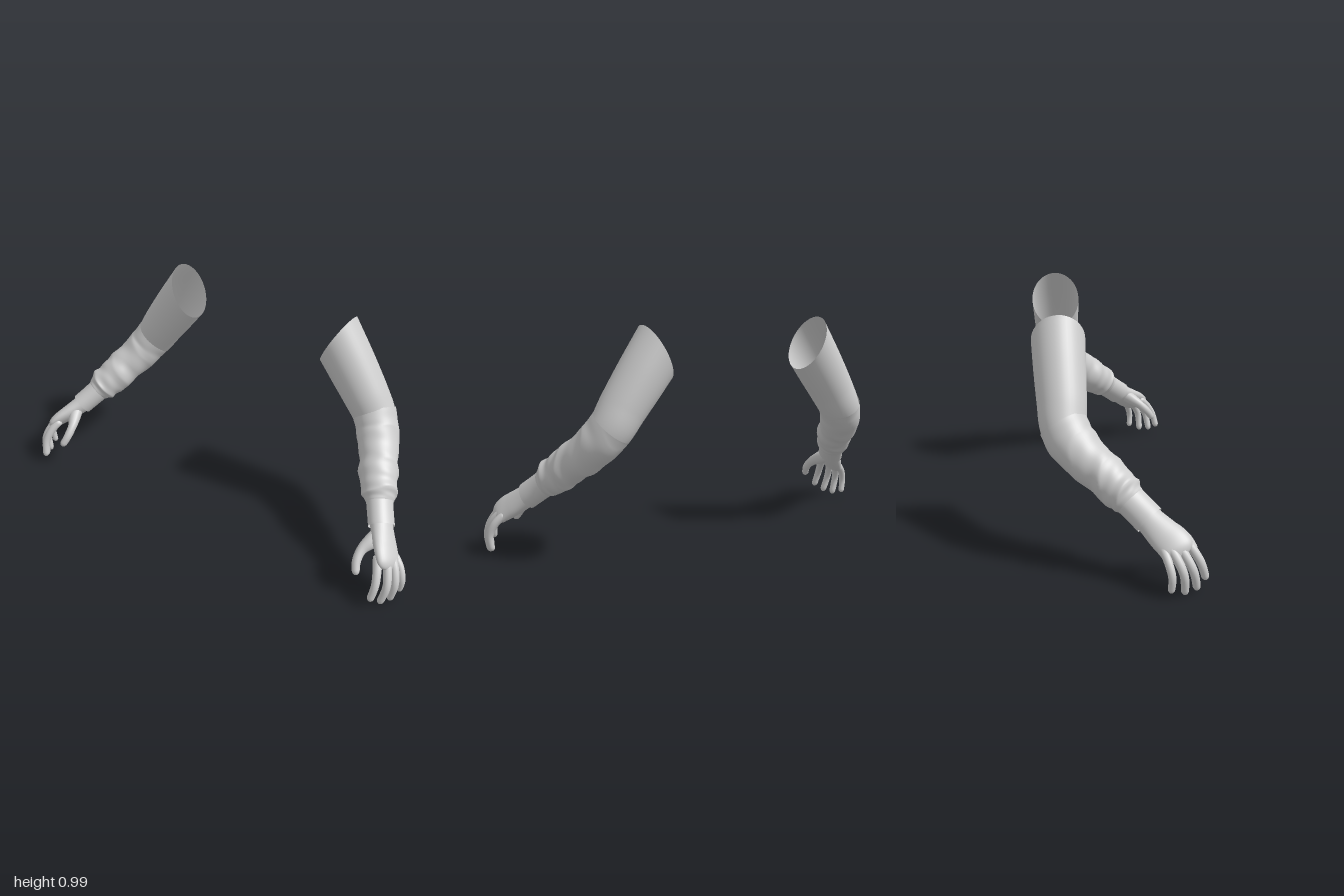
import * as THREE from 'three';

const clay = new THREE.MeshStandardMaterial({ color: 0xcccccc, side: THREE.DoubleSide });
clay.name = 'light grey';

// Loft an oval tube. Each station is [x, y, z, radius outward, radius frontward, slant].
// options: tip = rounded share of the far end, root = rounded share of the near end,
// ripple(s, angle) = extra radius.
function loft(name, stations, side, { steps = 24, sides = 20, tip = 0, root = 0, ripple = null } = {}) {
  const path = new THREE.CatmullRomCurve3(stations.map(p => new THREE.Vector3(p[0], p[1], p[2])));
  const size = new THREE.CatmullRomCurve3(
    stations.map(p => new THREE.Vector3(p[3], p[4], p[5] || 0)), false, 'catmullrom', 0.5);
  const positions = [], index = [];
  for (let i = 0; i <= steps; i++) {
    // crowd rings toward a rounded tip
    const s = tip ? Math.sin((i / steps) * Math.PI / 2) : i / steps;
    const c = path.getPoint(s), t = path.getTangent(s), r = size.getPoint(s);
    const u = new THREE.Vector3(0.83, 0.55, 0).addScaledVector(t, -(0.83 * t.x + 0.55 * t.y)).normalize();
    const v = new THREE.Vector3().crossVectors(t, u);
    let k = 1;
    if (tip && s > 1 - tip) k = Math.sqrt(Math.max(0, 1 - ((s - 1 + tip) / tip) ** 2));
    if (root && s < root) k = Math.sqrt(Math.max(0, 1 - ((root - s) / root) ** 2));
    k = Math.max(k, 0.01);
    for (let j = 0; j < sides; j++) {
      const a = (j / sides) * Math.PI * 2, w = ripple ? ripple(s, a) : 0;
      const p = c.clone()
        .addScaledVector(u, Math.cos(a) * (r.x * k + w))
        .addScaledVector(v, Math.sin(a) * (r.y * k + w))
        .addScaledVector(t, Math.cos(a) * r.z);
      positions.push(p.x * side, p.y, p.z);
      if (i === steps) continue;
      const n = (j + 1) % sides;
      const A = i * sides + j, B = i * sides + n, C = A + sides, D = B + sides;
      if (side > 0) index.push(A, B, C, B, D, C);
      else index.push(A, C, B, B, C, D);
    }
  }
  const g = new THREE.BufferGeometry();
  g.setAttribute('position', new THREE.Float32BufferAttribute(positions, 3));
  g.setIndex(index);
  g.computeVertexNormals();
  const mesh = new THREE.Mesh(g, clay);
  mesh.name = name;
  return mesh;
}

// Slanting cloth folds, gathering toward the wrist
function folds(s, a) {
  const fade = Math.sin(Math.PI * Math.min(1, s * 1.02)) ** 0.6 * (0.35 + 0.65 * s);
  const main = 1 - 2 * Math.abs(Math.sin(s * 11 + 0.9 * Math.sin(a + 0.6) + 0.5 * Math.cos(2 * a)));
  const fine = Math.sin(s * 37 + 2 * Math.cos(a - 1)) * Math.cos(2 * a + 4 * s);
  return fade * (0.005 * main + 0.0035 * fine) || 0;
}

function buildArm(side) {
  const arm = new THREE.Group();
  arm.name = side > 0 ? 'leftArm' : 'rightArm';

  // Sleeve: open slanted shoulder end, elbow overlap, gathered forearm, narrow cuff
  arm.add(loft('upperSleeve', [
    [0.400, 0.872, -0.228, 0.115, 0.111, -0.061],
    [0.475, 0.765, -0.224, 0.110, 0.107, -0.030],
    [0.550, 0.655, -0.219, 0.102, 0.101, 0],
    [0.605, 0.570, -0.214, 0.094, 0.095, 0],
    [0.650, 0.505, -0.185, 0.084, 0.088, 0],
  ], side, { sides: 40, steps: 30 }));
  arm.add(loft('forearmSleeve', [
    [0.603, 0.578, -0.217, 0.095, 0.099, 0],
    [0.645, 0.512, -0.180, 0.091, 0.099, 0],
    [0.695, 0.442, -0.105, 0.085, 0.089, 0],
    [0.735, 0.386, -0.035, 0.083, 0.084, 0],
    [0.768, 0.343, 0.012, 0.076, 0.080, 0],
    [0.786, 0.319, 0.039, 0.056, 0.065, 0],
  ], side, { sides: 48, steps: 80, ripple: folds }));
  arm.add(loft('cuff', [
    [0.768, 0.343, 0.012, 0.056, 0.066],
    [0.802, 0.299, 0.063, 0.053, 0.063],
    [0.836, 0.258, 0.110, 0.052, 0.064],
  ], side, { sides: 40, steps: 12 }));

  // Palm, from inside the cuff to the knuckles
  arm.add(loft('palm', [
    [0.805, 0.295, 0.070, 0.042, 0.054],
    [0.838, 0.256, 0.112, 0.042, 0.057],
    [0.880, 0.217, 0.160, 0.037, 0.066],
    [0.914, 0.187, 0.197, 0.031, 0.069],
    [0.945, 0.148, 0.222, 0.024, 0.066],
  ], side, { sides: 32, steps: 30, tip: 0.2 }));

  // Four fingers, from knuckle to tip
  const fingers = {
    indexFinger: [[0.880, 0.210, 0.222], [0.905, 0.165, 0.268], [0.918, 0.110, 0.302], [0.909, 0.035, 0.325]],
    middleFinger: [[0.905, 0.205, 0.195], [0.938, 0.155, 0.236], [0.955, 0.095, 0.268], [0.938, 0.007, 0.287]],
    ringFinger: [[0.915, 0.195, 0.170], [0.956, 0.145, 0.205], [0.974, 0.090, 0.229], [0.960, 0.000, 0.237]],
    littleFinger: [[0.915, 0.185, 0.150], [0.964, 0.138, 0.170], [0.984, 0.085, 0.183], [0.976, 0.017, 0.181]],
  };
  const girth = [0.021, 0.019, 0.0175, 0.0155];
  for (const [name, points] of Object.entries(fingers)) {
    const thin = name === 'littleFinger' ? 0.9 : 1;
    arm.add(loft(name, points.map((p, i) => [...p, girth[i] * thin, girth[i] * thin]), side,
      { sides: 16, tip: 0.08, root: 0.1 }));
  }

  // Thumb with its fleshy base
  arm.add(loft('thumb', [
    [0.850, 0.250, 0.125, 0.030, 0.034],
    [0.827, 0.222, 0.180, 0.029, 0.033],
    [0.807, 0.196, 0.225, 0.021, 0.023],
    [0.806, 0.160, 0.264, 0.019, 0.019],
    [0.822, 0.113, 0.295, 0.016, 0.016],
  ], side, { sides: 18, steps: 30, tip: 0.09, root: 0.12 }));
  return arm;
}

export function createModel() {
  const model = new THREE.Group();
  model.name = 'arms';
  for (const side of [1, -1]) model.add(buildArm(side));
  return model;
}
